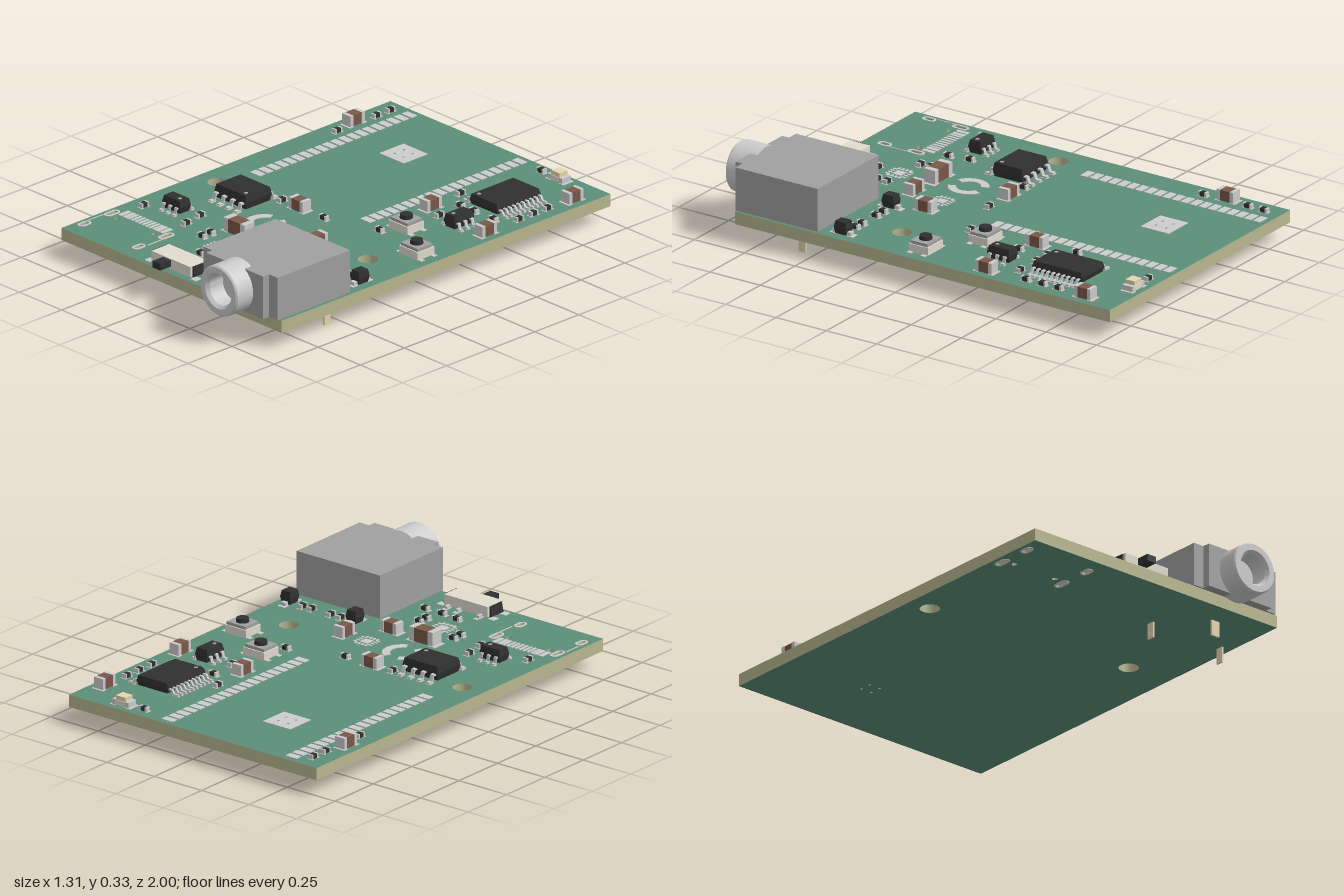
import * as THREE from 'three';
import { toCreasedNormals } from 'three/addons/utils/BufferGeometryUtils.js';

const TOP = 0.122, BOTTOM = 0.068;
const mat = (color) => new THREE.MeshStandardMaterial({ color });
const metal = mat(0xcccccc), green = mat(0x5c8e78), edge = mat(0xb8b890), black = mat(0x303030),
  shell = mat(0xa0a0a0), cream = mat(0xe0dccf), brown = mat(0x7a5848), tan = mat(0xe6d6b0);

function add(parent, name, geometry, material, x = 0, y = 0, z = 0) {
  const mesh = new THREE.Mesh(geometry, material);
  mesh.name = name;
  mesh.position.set(x, y, z);
  parent.add(mesh);
  return mesh;
}

// Box given by centre x, z, footprint and the heights of its bottom and top
const block = (parent, name, material, x, z, w, d, y0, y1) =>
  add(parent, name, new THREE.BoxGeometry(w, y1 - y0, d), material, x, (y0 + y1) / 2, z);

const pad = (parent, x, z, w, d) => block(parent, 'solderPad', metal, x, z, w, d, TOP - 0.002, TOP + 0.003);

function group(parent, name, x = 0, z = 0, turn = 0) {
  const g = new THREE.Group();
  g.name = name;
  g.position.set(x, 0, z);
  g.rotation.y = turn;
  parent.add(g);
  return g;
}

// Flat shape lying in the xz plane, with z of the model = -y of the shape
function slab(shape, y0, y1, segments = 12) {
  const geo = new THREE.ExtrudeGeometry(shape, { depth: y1 - y0, bevelEnabled: false, curveSegments: segments });
  return geo.rotateX(-Math.PI / 2).translate(0, y0, 0);
}

function rect(path, x, z, w, d) {
  path.moveTo(x - w / 2, -z - d / 2).lineTo(x + w / 2, -z - d / 2);
  path.lineTo(x + w / 2, -z + d / 2).lineTo(x - w / 2, -z + d / 2).closePath();
  return path;
}

// Rounded slot running along z
function slot(path, x, z, w, d) {
  const r = w / 2, s = d / 2 - r;
  path.absarc(x, -z + s, r, 0, Math.PI, false);
  path.absarc(x, -z - s, r, Math.PI, Math.PI * 2, false);
  return path.closePath();
}
const hole = (x, z, r) => new THREE.Path().absarc(x, -z, r, 0, Math.PI * 2, false);

// Moulded chip body, widest at its waist
function moulded(w, h, d, inset) {
  const geo = new THREE.BoxGeometry(w, h, d, 1, 2, 1), p = geo.attributes.position;
  for (let i = 0; i < p.count; i++) {
    if (Math.abs(p.getY(i)) < h / 4) continue;
    p.setX(i, p.getX(i) - Math.sign(p.getX(i)) * inset);
    p.setZ(i, p.getZ(i) - Math.sign(p.getZ(i)) * inset);
  }
  return toCreasedNormals(geo.toNonIndexed(), 0.2);
}

// Gull-wing lead pointing along +x
function leadGeometry(reach, width, rise) {
  const t = 0.007, s = new THREE.Shape();
  [[-0.01, rise], [reach * 0.35, rise], [reach * 0.55, t], [reach, t], [reach, 0], [reach * 0.42, 0],
    [reach * 0.25, rise - t], [-0.01, rise - t]].reverse().forEach(([x, y], i) => (i ? s.lineTo(x, y) : s.moveTo(x, y)));
  return new THREE.ExtrudeGeometry(s, { depth: width, bevelEnabled: false }).translate(0, 0, -width / 2);
}

// Chip with leads on its +x and -x sides
function chip(parent, name, x, z, turn, o) {
  const g = group(parent, name, x, z, turn);
  add(g, 'chipBody', moulded(o.w, o.h, o.d, 0.006), black, 0, TOP + 0.006 + o.h / 2, 0);
  const lead = leadGeometry(o.reach, o.leadWidth, o.h * 0.55);
  for (const side of [1, -1]) for (let i = 0; i < o.n; i++) {
    const lz = (i - (o.n - 1) / 2) * o.pitch;
    const m = add(g, 'lead', lead, metal, side * o.w / 2, TOP + 0.003, lz);
    if (side < 0) m.rotation.y = Math.PI;
    pad(g, side * (o.w / 2 + o.reach * 0.72), lz, o.reach * 0.7, o.leadWidth * 1.3);
  }
  const dot = new THREE.CylinderGeometry(0.009, 0.009, 0.002, 12);
  add(g, 'pinOneMark', dot, shell, -o.w / 2 + 0.028, TOP + 0.006 + o.h, o.d / 2 - 0.028);
}

// Two-terminal part: length l along x, width w, height h
function passive(parent, name, x, z, turn, l, w, h, material) {
  const g = group(parent, name, x, z, turn);
  block(g, 'body', material, 0, 0, l * 0.6, w, TOP + 0.003, TOP + h);
  for (const s of [1, -1]) {
    block(g, 'terminal', metal, s * l * 0.38, 0, l * 0.2, w * 1.02, TOP, TOP + h + 0.001);
    pad(g, s * l * 0.44, 0, l * 0.3, w * 1.2);
  }
}

function button(parent, x, z) {
  const g = group(parent, 'pushButton', x, z);
  block(g, 'buttonBase', cream, 0, 0, 0.11, 0.095, TOP, TOP + 0.035);
  block(g, 'buttonPlate', shell, 0, 0, 0.1, 0.085, TOP + 0.035, TOP + 0.048);
  add(g, 'buttonCap', new THREE.CylinderGeometry(0.026, 0.028, 0.02, 24), black, 0, TOP + 0.055, 0);
  for (const sx of [1, -1]) for (const sz of [1, -1]) pad(g, sx * 0.06, sz * 0.035, 0.03, 0.022);
}

// Bare footprint of a leadless chip
function footprint(parent, x, z, size) {
  const g = group(parent, 'chipFootprint', x, z);
  pad(g, 0, 0, size * 0.45, size * 0.45);
  for (let k = 0; k < 4; k++) for (const s of [1, -1]) {
    const t = (k - 1.5) * size * 0.2;
    pad(g, s * size * 0.42, t, size * 0.2, size * 0.11);
    pad(g, t, s * size * 0.42, size * 0.11, size * 0.2);
  }
}

function buildBoard(root) {
  const shape = rect(new THREE.Shape(), 0, -0.0675, 1.306, 1.865);
  const vias = [-1, 1].flatMap((i) => [-1, 1].map((j) => hole(-0.227 + i * 0.026, -0.667 + j * 0.026, 0.006)));
  const slots = [-0.616, -0.294].flatMap((x) => [[x, 0.614, 0.02, 0.06], [x, 0.77, 0.02, 0.046]]);
  shape.holes.push(hole(-0.548, 0.08, 0.042), hole(0.444, 0.175, 0.042), hole(-0.564, 0.632, 0.012),
    hole(-0.346, 0.632, 0.012), ...vias, ...slots.map((s) => slot(new THREE.Path(), ...s)));
  add(root, 'circuitBoard', slab(shape, BOTTOM, TOP, 20), [green, edge]);

  // Thermal pad with vias and the plated slots
  const thermal = rect(new THREE.Shape(), -0.227, -0.667, 0.143, 0.138);
  thermal.holes.push(...vias);
  add(root, 'thermalPad', slab(thermal, TOP, TOP + 0.003), metal);
  for (const [x, z, w, d] of slots) {
    const ring = slot(new THREE.Shape(), x, z, w + 0.018, d + 0.018);
    ring.holes.push(slot(new THREE.Path(), x, z, w, d));
    add(root, 'slotPlatingTop', slab(ring, TOP, TOP + 0.003), metal);
    add(root, 'slotPlatingBottom', slab(ring, BOTTOM - 0.003, BOTTOM), metal);
  }

  // Two rows of module pads
  const rows = group(root, 'modulePads');
  for (const x of [-0.497, 0.157]) for (let i = 0; i < 20; i++) pad(rows, x, -0.958 + i * 0.0452, 0.058, 0.034);

  // Socket pads and outline
  const socket = group(root, 'socketPads');
  for (let i = 0; i < 8; i++) pad(socket, -0.455 + (i - 3.5) * 0.0212, 0.578, 0.012, 0.058);
  for (const s of [-1, 1]) {
    for (const dx of [0.095, 0.123]) pad(socket, -0.455 + s * dx, 0.578, 0.02, 0.058);
    pad(socket, -0.455 + s * 0.176, 0.692, 0.004, 0.085);
  }

  // C-shaped pads of the coil
  for (const turn of [0, Math.PI]) {
    const c = new THREE.Shape(), span = 1.15;
    c.absarc(0, 0, 0.086, -span, span, false);
    c.absarc(0, 0, 0.052, span, -span, true);
    const m = add(root, 'coilPad', slab(c, TOP, TOP + 0.003, 4), metal, -0.112, 0, 0.228);
    m.rotation.y = turn;
  }
  footprint(root, 0.08, 0.23, 0.09);
  footprint(root, -0.069, 0.543, 0.095);
}

function buildJack(root) {
  const g = group(root, 'audioJack');
  block(g, 'jackBody', shell, 0.418, 0.668, 0.44, 0.41, TOP, 0.312);
  block(g, 'jackFront', shell, 0.418, 0.887, 0.338, 0.04, TOP, 0.312);
  const profile = [[0.11, 0], [0.11, 0.123], [0.104, 0.13], [0.078, 0.13], [0.066, 0.115], [0.066, 0.04], [0, 0.04]];
  const lathe = new THREE.LatheGeometry(profile.map(([r, y]) => new THREE.Vector2(r, y)), 48);
  add(g, 'jackBarrel', toCreasedNormals(lathe, 0.5), metal, 0.418, 0.22, 0.87).rotation.x = Math.PI / 2;
  block(g, 'centrePin', tan, 0.418, 0.748, 0.04, 0.008, 0, TOP);
  for (const x of [0.232, 0.604]) block(g, 'sidePin', tan, x, 0.562, 0.008, 0.035, 0, TOP);
}

function buildSwitch(root) {
  const g = group(root, 'slideSwitch', -0.03, 0.79);
  block(g, 'switchCase', cream, 0, 0, 0.23, 0.1, TOP + 0.006, TOP + 0.052);
  for (const s of [-1, 1]) {
    const end = block(g, 'switchEnd', black, s * 0.117, 0, 0.014, 0.075, TOP + 0.006, TOP + 0.05);
    end.rotation.z = s * 0.2;
    for (const z of [-0.038, 0.038]) pad(g, s * 0.136, z, 0.03, 0.035);
  }
  block(g, 'switchLever', black, -0.023, 0.075, 0.046, 0.07, TOP + 0.018, TOP + 0.047);
  for (const x of [-0.083, 0.028, 0.086]) {
    pad(g, x, -0.07, 0.02, 0.045);
    block(g, 'switchLead', metal, x, -0.06, 0.013, 0.03, TOP, TOP + 0.014);
  }
}

export function createModel() {
  const root = new THREE.Group(), Q = Math.PI / 2;
  root.name = 'circuitBoardAssembly';
  buildBoard(root);
  buildJack(root);
  buildSwitch(root);

  // Chips with leads
  chip(root, 'eightLeadChip', -0.344, 0.13, Q, { w: 0.148, d: 0.186, h: 0.06, n: 4, pitch: 0.05, reach: 0.044, leadWidth: 0.018 });
  chip(root, 'sixLeadChip', -0.457, 0.4, Q, { w: 0.063, d: 0.106, h: 0.056, n: 3, pitch: 0.037, reach: 0.026, leadWidth: 0.015 });
  chip(root, 'twentyLeadChip', 0.415, -0.63, 0, { w: 0.164, d: 0.248, h: 0.044, n: 10, pitch: 0.0245, reach: 0.048, leadWidth: 0.01 });
  chip(root, 'sixLeadChip', 0.455, -0.33, 0, { w: 0.064, d: 0.111, h: 0.056, n: 3, pitch: 0.037, reach: 0.026, leadWidth: 0.015 });

  // Push buttons, diodes and lamp
  button(root, 0.325, -0.156);
  button(root, 0.541, -0.008);
  for (const x of [0.25, 0.595]) {
    const g = group(root, 'diode', x, 0.365);
    add(g, 'diodeBody', moulded(0.053, 0.055, 0.06, 0.005), black, 0, TOP + 0.033, 0);
    for (const s of [-1, 1]) {
      pad(g, 0, s * 0.043, 0.036, 0.03);
      block(g, 'diodeLead', metal, 0, s * 0.035, 0.024, 0.02, TOP, TOP + 0.018);
    }
  }
  passive(root, 'lamp', 0.405, -0.947, 0, 0.09, 0.05, 0.025, cream);
  block(root, 'lampLens', tan, 0.405, -0.947, 0.05, 0.045, TOP + 0.02, TOP + 0.044);

  // Large capacitors: x, z, quarter turn
  passive(root, 'largestCapacitor', -0.109, 0.378, 0, 0.13, 0.056, 0.062, brown);
  [[-0.593, -0.733, 1], [-0.114, 0.029, 0], [0.066, 0.378, 0], [0.196, 0.228, 1], [0.251, -0.365, 1],
    [0.595, -0.839, 1], [0.595, -0.347, 1]]
    .forEach(([x, z, t]) => passive(root, 'capacitor', x, z, t * Q, 0.085, 0.048, 0.05, brown));

  // Small resistors and capacitors: x, z, quarter turn
  [[-0.574, -0.923, 1], [-0.574, -0.844, 1], [-0.574, -0.622, 1], [0.299, -0.947, 0], [0.59, -0.701, 1],
    [0.59, -0.622, 1], [0.59, -0.54, 1], [0.235, -0.548, 1], [0.325, -0.463, 0], [0.405, -0.463, 0],
    [0.521, -0.463, 0], [0.336, -0.331, 1], [0.278, -0.05, 0], [-0.22, 0.029, 1], [0.029, 0.029, 0],
    [-0.341, 0.378, 1], [-0.574, 0.474, 1], [-0.323, 0.474, 1], [-0.183, 0.468, 0], [-0.183, 0.516, 0],
    [0.045, 0.526, 0], [0.045, 0.574, 0], [-0.061, 0.643, 0], [0.024, 0.653, 0], [0.114, 0.653, 0],
    [0.32, 0.357, 1], [0.373, 0.357, 1], [0.474, 0.357, 1], [0.521, 0.357, 1]]
    .forEach(([x, z, t]) => passive(root, 'smallResistor', x, z, t * Q, 0.042, 0.022, 0.02, black));
  return root;
}
